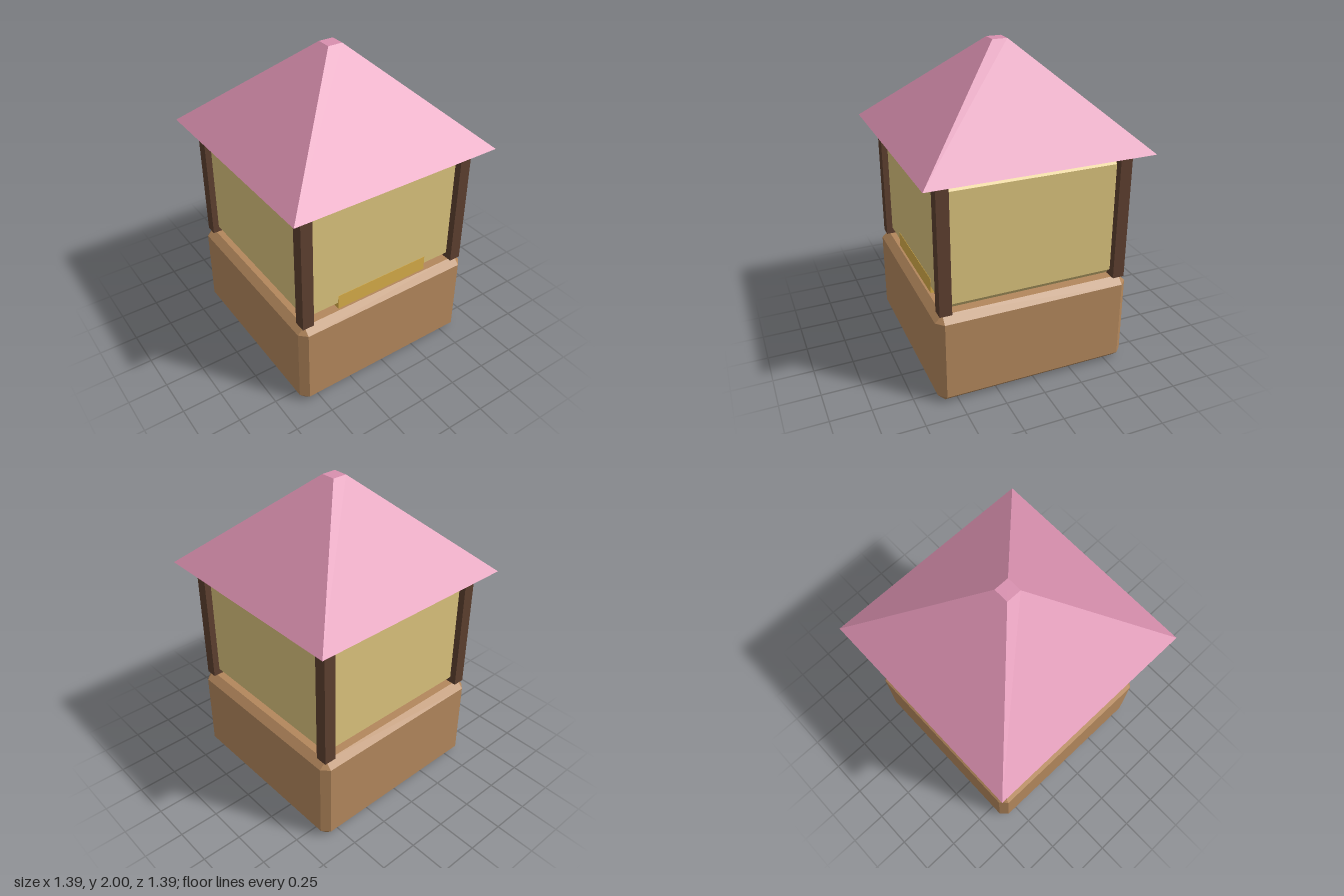
import * as THREE from 'three';
import { ConvexGeometry } from 'three/addons/geometries/ConvexGeometry.js';

function material(name, color) {
  const m = new THREE.MeshStandardMaterial({ color });
  m.name = name;
  return m;
}

// Box with every edge chamfered by c
function chamferBox(w, h, d, c) {
  const points = [];
  for (const x of [-1, 1]) for (const y of [-1, 1]) for (const z of [-1, 1]) {
    const X = w / 2, Y = h / 2, Z = d / 2;
    points.push(
      new THREE.Vector3(x * X, y * (Y - c), z * (Z - c)),
      new THREE.Vector3(x * (X - c), y * Y, z * (Z - c)),
      new THREE.Vector3(x * (X - c), y * (Y - c), z * Z));
  }
  return new ConvexGeometry(points);
}

export function createModel() {
  const group = new THREE.Group();
  group.name = 'kiosk';

  const wood = material('tan wood', 0xb3875c);
  const darkWood = material('dark wood', 0x5d3f2f);
  const cream = material('cream wall', 0xdac27c);
  const gold = material('gold counter', 0xd6ac48);
  const pink = material('pink roof', 0xd88fae);

  const add = (name, geometry, mat, x, y, z) => {
    const mesh = new THREE.Mesh(geometry, mat);
    mesh.name = name;
    mesh.position.set(x, y, z);
    group.add(mesh);
    return mesh;
  };

  // Base and upper room
  add('base', chamferBox(1.24, 0.593, 1.24, 0.045), wood, 0, 0.2965, 0);
  add('room', chamferBox(1.12, 0.785, 1.12, 0.045), cream, 0, 0.9865, 0);

  // Serving counter set in the front wall
  add('counter', new THREE.BoxGeometry(0.655, 0.1, 0.2), gold, 0, 0.64, 0.462);

  // Corner posts
  const postGeometry = new THREE.BoxGeometry(0.075, 0.822, 0.075);
  for (const x of [-0.56, 0.56]) for (const z of [-0.56, 0.56])
    add('post', postGeometry, darkWood, x, 1.004, z);

  // Four-sided roof with a small flat top
  const roof = new THREE.CylinderGeometry(0.047 * Math.SQRT2, 0.693 * Math.SQRT2, 0.587, 4)
    .rotateY(Math.PI / 4).toNonIndexed();
  roof.computeVertexNormals();
  add('roof', roof, pink, 0, 1.7065, 0);

  return group;
}
